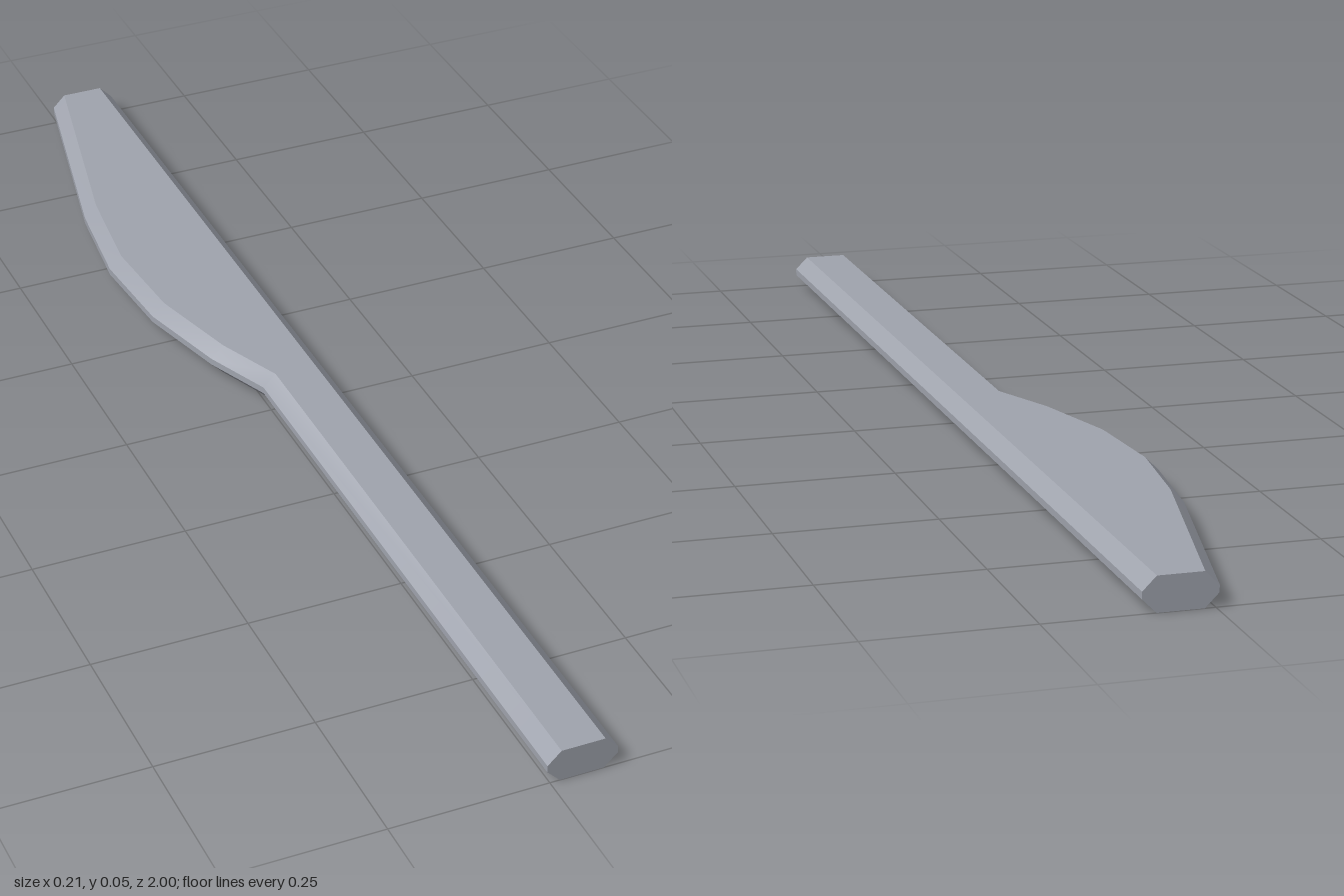
import * as THREE from 'three';
import { toCreasedNormals } from 'three/addons/utils/BufferGeometryUtils.js';

const HEIGHT = 0.053, BEVEL = 0.021, BACK_EDGE = 0.106;

// Bevelled eight-sided cross-section, counter-clockwise seen from the front
function section([z, left]) {
  const r = BACK_EDGE, b = BEVEL, h = HEIGHT;
  return [
    [left + b, 0, z], [r - b, 0, z], [r, b, z], [r, h - b, z],
    [r - b, h, z], [left + b, h, z], [left, h - b, z], [left, b, z],
  ];
}

// Joins the cross-sections with side faces and closes both ends
function loft(stations) {
  const rings = stations.map(section), n = 8, last = rings.length - 1;
  const positions = [];
  const tri = (a, b, c) => positions.push(...a, ...b, ...c);
  for (let j = 0; j < last; j++) {
    for (let i = 0; i < n; i++) {
      const k = (i + 1) % n;
      tri(rings[j][i], rings[j + 1][i], rings[j + 1][k]);
      tri(rings[j][i], rings[j + 1][k], rings[j][k]);
    }
  }
  for (let i = 1; i < n - 1; i++) {
    tri(rings[0][0], rings[0][i], rings[0][i + 1]);
    tri(rings[last][0], rings[last][i + 1], rings[last][i]);
  }
  const geometry = new THREE.BufferGeometry();
  geometry.setAttribute('position', new THREE.Float32BufferAttribute(positions, 3));
  return toCreasedNormals(geometry, 0.5);
}

export function createModel() {
  const steel = new THREE.MeshStandardMaterial({ color: 0xa0a4ae });
  steel.name = 'steel';

  // Straight handle running into a bellied blade: [z, cutting edge x]
  const knife = new THREE.Mesh(loft([
    [1, -0.005], [-0.02, -0.005], [-0.13, -0.051], [-0.285, -0.093],
    [-0.45, -0.106], [-0.62, -0.087], [-1, -0.005],
  ]), steel);
  knife.name = 'handleAndBlade';

  const model = new THREE.Group();
  model.name = 'knife';
  model.add(knife);
  return model;
}
